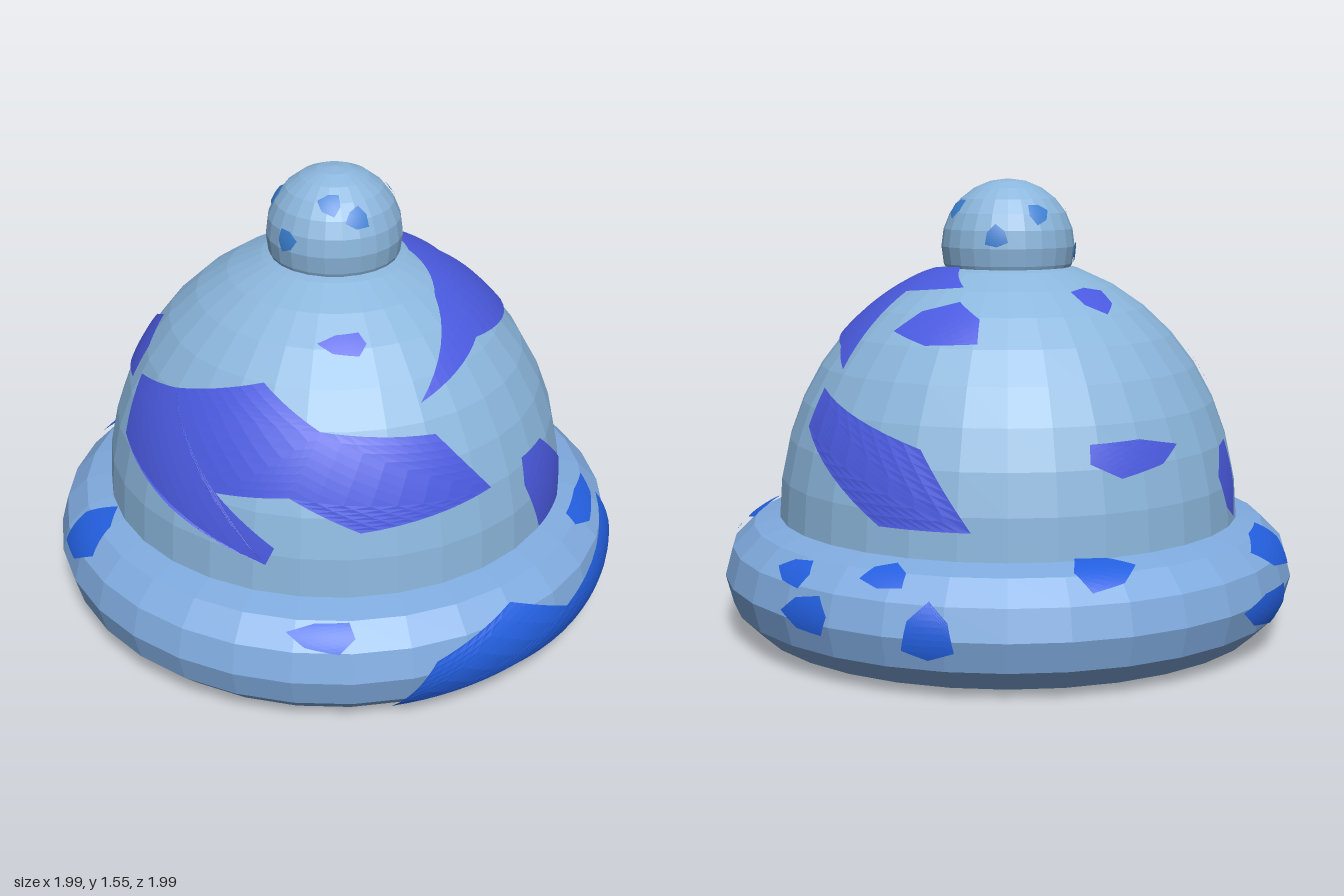
import * as THREE from 'three';

const rad = THREE.MathUtils.degToRad;

// Profiles: each returns [radius, height]; the lift raises a patch off the surface.
const domeAt = (t, lift = 0) => [(0.8 + lift) * Math.cos(rad(t)), 0.4 + (0.89 + lift) * Math.sin(rad(t))];
const brimAt = (t, lift = 0) => [0.79 + (0.2 + lift) * Math.cos(rad(t)), 0.205 + (0.2 + lift) * Math.sin(rad(t))];
const ballAt = (t, lift = 0) => [(0.23 + lift) * Math.cos(rad(t)), 1.325 + (0.23 + lift) * Math.sin(rad(t))];

const paint = (color, side = THREE.FrontSide) =>
  new THREE.MeshStandardMaterial({ color, side, flatShading: true });

// Turned shell following a profile between two angles
function shell(name, profile, from, to, steps, material, segments = 32) {
  const points = [];
  for (let i = 0; i <= steps; i++) {
    const [r, y] = profile(from + ((to - from) * i) / steps);
    points.push(new THREE.Vector2(Math.max(r, 0), y));
  }
  const mesh = new THREE.Mesh(new THREE.LatheGeometry(points, segments), material);
  mesh.name = name;
  return mesh;
}

// Outline in [degrees around, degrees up the profile], subdivided and wrapped onto a surface
function patch(name, profile, outline, material, lift) {
  const flat = new THREE.ShapeGeometry(new THREE.Shape(outline.map(([a, t]) => new THREE.Vector2(a, t))));
  const positions = [];
  const split = (a, b, c, depth) => {
    if (depth === 0) {
      for (const p of [a, b, c]) {
        const [r, y] = profile(p.y, lift);
        positions.push(r * Math.sin(rad(p.x)), y, r * Math.cos(rad(p.x)));
      }
      return;
    }
    const ab = a.clone().lerp(b, 0.5), bc = b.clone().lerp(c, 0.5), ca = c.clone().lerp(a, 0.5);
    split(a, ab, ca, depth - 1);
    split(ab, b, bc, depth - 1);
    split(ca, bc, c, depth - 1);
    split(ab, bc, ca, depth - 1);
  };
  const corner = (i) => new THREE.Vector2().fromBufferAttribute(flat.attributes.position, flat.index.getX(i));
  for (let i = 0; i < flat.index.count; i += 3) split(corner(i), corner(i + 1), corner(i + 2), 3);
  const geometry = new THREE.BufferGeometry();
  geometry.setAttribute('position', new THREE.Float32BufferAttribute(positions, 3));
  geometry.computeVertexNormals();
  const mesh = new THREE.Mesh(geometry, material);
  mesh.name = name;
  return mesh;
}

// Uneven six-sided outline around a centre
function blob([a, t, width, height]) {
  return Array.from({ length: 6 }, (_, i) => {
    const turn = rad(i * 60 + a);
    const reach = i % 2 ? 0.85 : 1.1;
    return [a + width * reach * Math.cos(turn), t + height * reach * Math.sin(turn)];
  });
}

// Large crown patches: front band, top back, low back
const frontBand = [[-20, 33], [-15, 20], [10, 13], [37, 7], [39, 11], [23, 20], [42, 22], [59, 15], [94, 18],
  [81, 33], [49, 36], [30, 45], [0, 37]];
const topBack = [[168, 37], [165, 61], [201, 64], [180, 74], [143, 72], [110, 61], [79, 40], [112, 48], [156, 42]];
const lowBack = [[217, 6], [204, 22], [163, 32], [163, 23], [195, 6]];
const sidePatch = [[106, 14], [112, 1], [127, 1], [131, 9], [118, 20], [107, 20]];

// Smaller crown patches: [around, up, half width, half height]
const crownBlobs = [[-37, 35, 13, 8], [-67, 11, 6, 9], [200, 51, 18, 7], [268, 59, 11, 5], [256, 20, 14, 4],
  [57, 55, 10, 3]];

// Long brim patch on the left side
const longBrim = [[64, -40], [90, -25], [120, -30], [133, -15], [137, 44], [104, 10], [90, 44], [72, 14]];

// Smaller brim patches
const brimBlobs = [[51, 45, 7, 15], [-14, 50, 7, 35], [-42, -8, 6, 24], [-66, 45, 10, 26], [-116, 64, 7, 24],
  [201, 54, 5, 16], [180, 42, 5, 15], [129, 60, 11, 13], [186, 8, 6, 18], [211, 5, 5, 26], [284, -6, 10, 18]];

// Bobble spots: [around, up]
const bobbleSpots = [[10, 9], [-38, 34], [-52, -5], [75, 31], [48, 44], [160, 35], [215, 10], [255, 30]];

export function createModel() {
  const model = new THREE.Group();
  const light = paint(0x8bb6dc);
  const violet = paint(0x4a5adf);
  const blue = paint(0x235fdf);

  // Domed crown with its lining
  const crown = new THREE.Group();
  crown.name = 'crown';
  crown.add(shell('crownOuter', domeAt, 0, 90, 10, light));
  const lining = shell('crownLining', domeAt, 0, 90, 10, paint(0x4a5adf, THREE.BackSide));
  lining.scale.setScalar(0.99);
  crown.add(lining);
  for (const outline of [frontBand, topBack, lowBack, sidePatch, ...crownBlobs.map(blob)]) {
    crown.add(patch('crownPatch', domeAt, outline, violet, 0.007));
  }

  // Rolled brim: pale outside, blue inside
  const brim = new THREE.Group();
  brim.name = 'brim';
  brim.add(shell('brimOuter', brimAt, -90, 90, 6, paint(0x80abdf)));
  brim.add(shell('brimInner', brimAt, 90, 270, 6, blue));
  for (const outline of [longBrim, ...brimBlobs.map(blob)]) {
    brim.add(patch('brimPatch', brimAt, outline, blue, 0.007));
  }

  // Round bobble on top
  const bobble = new THREE.Group();
  bobble.name = 'bobble';
  bobble.add(shell('bobbleBall', ballAt, -90, 90, 12, light, 24));
  const spotPaint = paint(0x3a80d2);
  for (const [a, t] of bobbleSpots) {
    bobble.add(patch('bobbleSpot', ballAt, blob([a, t, 10 / Math.cos(rad(t)), 10]), spotPaint, 0.004));
  }

  model.add(crown, brim, bobble);
  return model;
}
